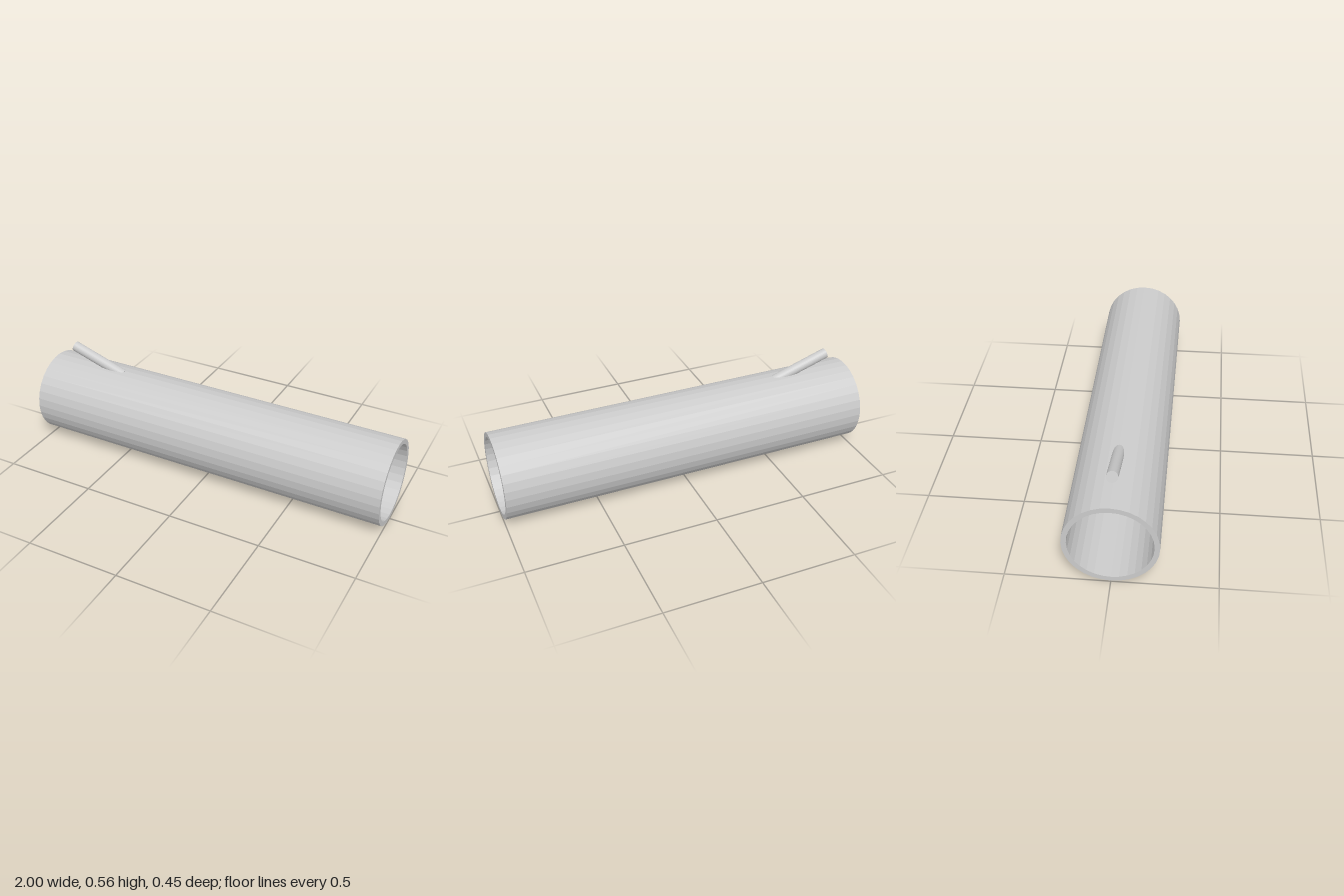
import * as THREE from 'three';

const SIDES = 32;

export function createModel() {
  const model = new THREE.Group();
  const material = new THREE.MeshStandardMaterial({ color: 0xcccccc, flatShading: true });

  // Open pipe: a closed wall section turned about its axis
  const outer = 0.225, inner = 0.2, half = 1;
  const section = [
    [inner, -half], [outer, -half], [outer, half], [inner, half], [inner, -half],
  ].map(([r, y]) => new THREE.Vector2(r, y));
  const pipe = new THREE.Mesh(new THREE.LatheGeometry(section, SIDES), material);
  pipe.name = 'pipe';
  pipe.rotation.z = -Math.PI / 2 - 0.0025; // lies along x with a very slight fall to +x
  pipe.position.y = 0.229;
  model.add(pipe);

  // Slanted peg that pierces the top of the pipe wall
  const top = new THREE.Vector3(-0.88, 0.534, 0);
  const bottom = new THREE.Vector3(-0.567, 0.43, 0);
  const axis = top.clone().sub(bottom);
  const peg = new THREE.Mesh(new THREE.CylinderGeometry(0.028, 0.028, axis.length(), SIDES), material);
  peg.name = 'slantedPeg';
  peg.position.copy(top).add(bottom).multiplyScalar(0.5);
  peg.quaternion.setFromUnitVectors(new THREE.Vector3(0, 1, 0), axis.normalize());
  model.add(peg);

  return model;
}
